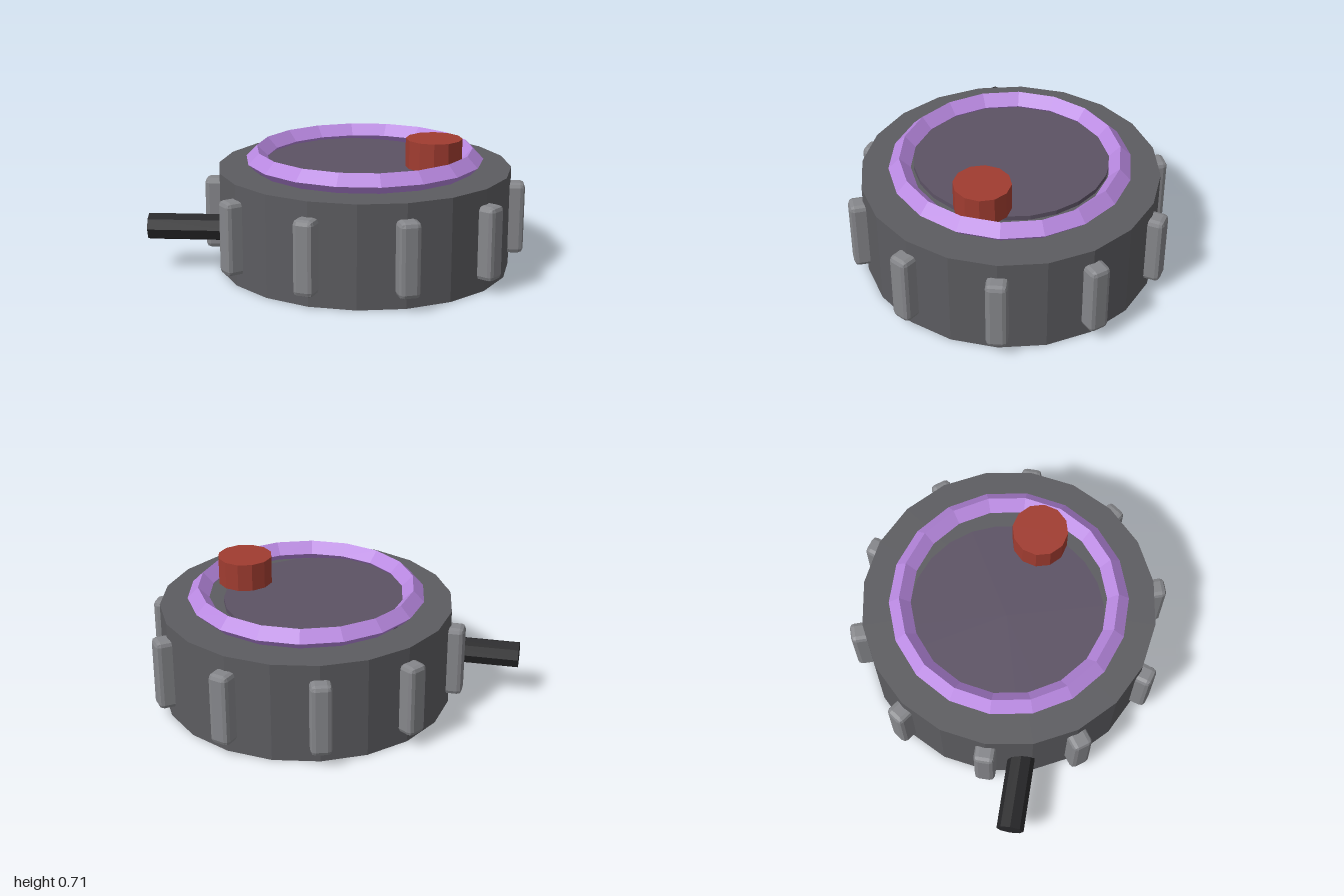
import * as THREE from 'three';
import { RoundedBoxGeometry } from 'three/addons/geometries/RoundedBoxGeometry.js';

const CENTER_X = 0.14;
const BODY_RADIUS = 0.785;

const mat = (color) => new THREE.MeshStandardMaterial({ color, flatShading: true });

function part(parent, name, geometry, material, x = 0, y = 0, z = 0) {
  const mesh = new THREE.Mesh(geometry, material);
  mesh.name = name;
  mesh.position.set(x, y, z);
  parent.add(mesh);
  return mesh;
}

export function createModel() {
  const model = new THREE.Group();
  model.name = 'roundDevice';

  // Faceted drum
  part(model, 'body', new THREE.CylinderGeometry(BODY_RADIUS, BODY_RADIUS, 0.54, 20), mat(0x5c5c60), CENTER_X, 0.27, 0);

  // Diamond-section ring on the top
  const ring = part(model, 'rimRing', new THREE.TorusGeometry(0.578, 0.058, 4, 18), mat(0xb888e0), CENTER_X, 0.582, 0);
  ring.rotation.x = Math.PI / 2;

  // Thin plate inside the ring, set slightly off centre
  part(model, 'facePlate', new THREE.CylinderGeometry(0.52, 0.52, 0.03, 24), mat(0x5c5264), 0.06, 0.55, 0);

  // Push button
  part(model, 'button', new THREE.CylinderGeometry(0.148, 0.148, 0.15, 12), mat(0xa03c30), 0.51, 0.64, 0.11);

  // Chamfered grip lugs around the side
  const lugs = new THREE.Group();
  lugs.name = 'gripLugs';
  lugs.position.set(CENTER_X, 0.265, 0);
  model.add(lugs);
  const lugGeometry = new RoundedBoxGeometry(0.15, 0.39, 0.11, 1, 0.025);
  const lugMaterial = mat(0x85868a);
  for (let i = 0; i < 10; i++) {
    const a = (i / 10) * Math.PI * 2;
    const lug = part(lugs, 'gripLug', lugGeometry, lugMaterial, Math.cos(a) * BODY_RADIUS, 0, -Math.sin(a) * BODY_RADIUS);
    lug.rotation.y = a;
  }

  // Cable stub leaving the side
  const cable = part(model, 'cable', new THREE.CylinderGeometry(0.072, 0.072, 0.5, 8), mat(0x28282a), -0.75, 0.23, 0.185);
  cable.rotation.z = Math.PI / 2;

  return model;
}
